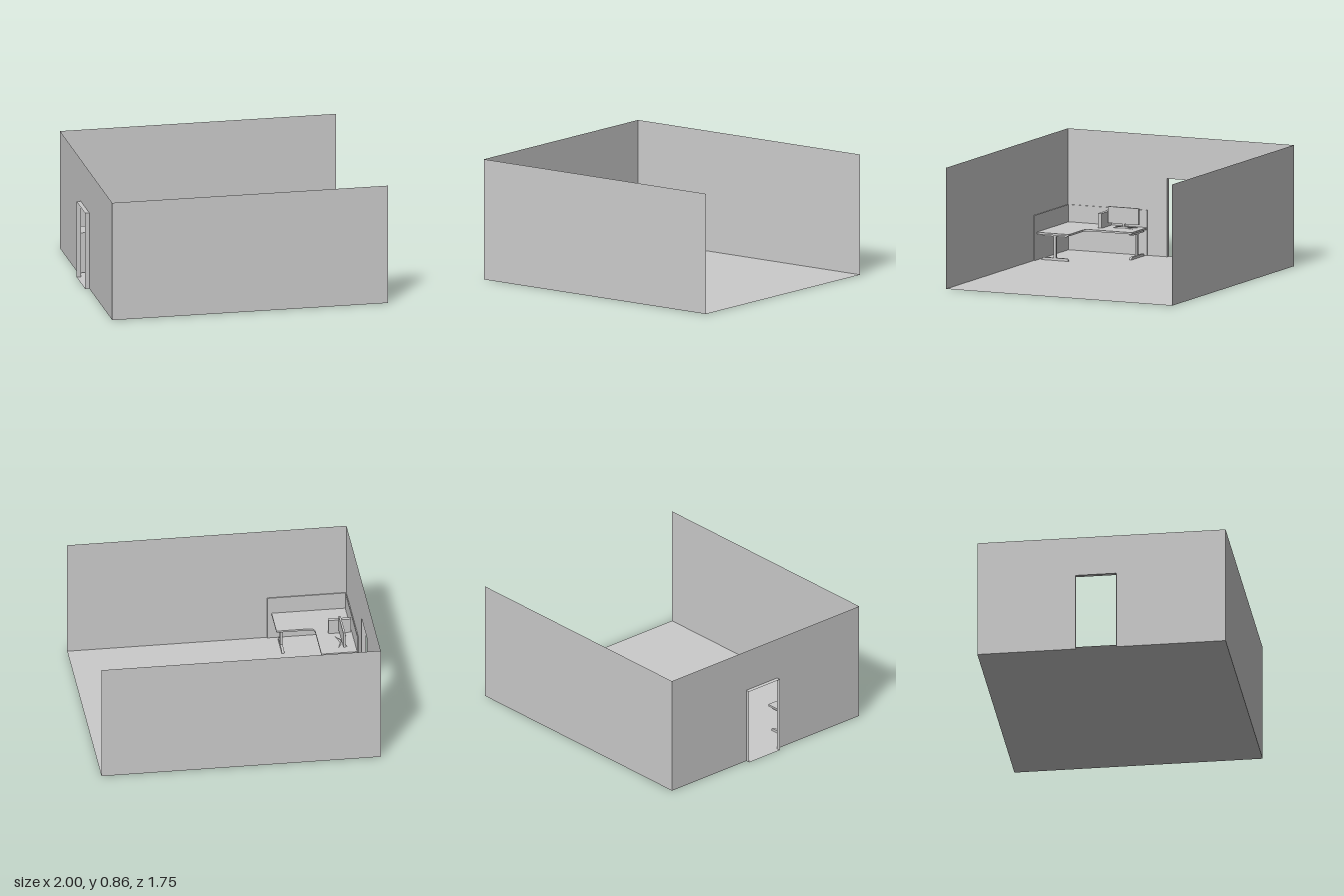
import * as THREE from 'three';

const grey = new THREE.MeshStandardMaterial({ color: 0xcccccc, side: THREE.DoubleSide, flatShading: true });

function add(parent, name, geometry, x = 0, y = 0, z = 0) {
  const mesh = new THREE.Mesh(geometry, grey);
  mesh.name = name;
  mesh.position.set(x, y, z);
  parent.add(mesh);
  return mesh;
}

// Box given by its minimum and maximum on each axis
function box(parent, name, x0, x1, y0, y1, z0, z1) {
  return add(parent, name, new THREE.BoxGeometry(x1 - x0, y1 - y0, z1 - z0),
    (x0 + x1) / 2, (y0 + y1) / 2, (z0 + z1) / 2);
}

function group(parent, name) {
  const g = new THREE.Group();
  g.name = name;
  parent.add(g);
  return g;
}

const W = -0.97, D = 0.875, H = 0.857;      // door wall x, half depth, wall height
const DOOR0 = -0.18, DOOR1 = 0.107, DOORH = 0.553;

function buildRoom(parent) {
  const room = group(parent, 'room');
  const mid = (1 + W) / 2, width = 1 - W;
  add(room, 'floor', new THREE.PlaneGeometry(width, 2 * D).rotateX(-Math.PI / 2), mid, 0, 0);
  for (const [name, z] of [['frontWall', D], ['backWall', -D]]) {
    add(room, name, new THREE.PlaneGeometry(width, H), mid, H / 2, z);
  }
  // Side wall outline steps around the doorway
  const wall = new THREE.Shape([[-D, 0], [DOOR0, 0], [DOOR0, DOORH], [DOOR1, DOORH], [DOOR1, 0],
    [D, 0], [D, H], [-D, H]].map(([z, y]) => new THREE.Vector2(-z, y)));
  add(room, 'doorWall', new THREE.ShapeGeometry(wall).rotateY(Math.PI / 2), W, 0, 0);

  // Shallow reveal outside the doorway
  const reveal = group(room, 'doorReveal');
  const depth = W + 1, x = (W - 1) / 2, zc = (DOOR0 + DOOR1) / 2;
  for (const z of [DOOR0, DOOR1]) add(reveal, 'doorJamb', new THREE.PlaneGeometry(depth, DOORH), x, DOORH / 2, z);
  for (const [name, y] of [['doorHead', DOORH], ['threshold', 0]]) {
    add(reveal, name, new THREE.PlaneGeometry(depth, DOOR1 - DOOR0).rotateX(-Math.PI / 2), x, y, zc);
  }
}

// Bar with rounded ends along z, centred, standing on its base
function roundedBar(length, height, width, up) {
  const h = length / 2, c = height * 0.9, s = new THREE.Shape();
  const top = up ? height : 0, base = up ? 0 : height;
  s.moveTo(-h, base);
  s.lineTo(h, base);
  s.quadraticCurveTo(h, top, h - c, top);
  s.lineTo(-h + c, top);
  s.quadraticCurveTo(-h, top, -h, base);
  return new THREE.ExtrudeGeometry(s, { depth: width, bevelEnabled: false, curveSegments: 4 })
    .translate(0, 0, -width / 2).rotateY(Math.PI / 2);
}

function buildLeg(parent, x, z, turn, length) {
  const leg = group(parent, 'deskLeg');
  add(leg, 'foot', roundedBar(length, 0.018, 0.018, true));
  add(leg, 'topBar', roundedBar(length, 0.015, 0.018, false), 0, 0.17, 0);
  box(leg, 'post', -0.008, 0.008, 0.015, 0.175, -0.01, 0.01);
  leg.position.set(x, 0, z);
  leg.rotation.y = turn;
}

function buildDesk(parent) {
  const desk = group(parent, 'cornerDesk');
  // L-shaped top with a rounded inner corner
  const s = new THREE.Shape();
  const x0 = -0.96, x1 = -0.708, x2 = -0.44, z0 = 0.256, z1 = 0.615, z2 = 0.865, r = 0.04, e = 0.008;
  s.moveTo(x0, -z0);
  s.lineTo(x0, -z2);
  s.lineTo(x2 - e, -z2);
  s.quadraticCurveTo(x2, -z2, x2, -z2 + e);
  s.lineTo(x2, -z1 - e);
  s.quadraticCurveTo(x2, -z1, x2 - e, -z1);
  s.lineTo(x1 + r, -z1);
  s.quadraticCurveTo(x1, -z1, x1, -z1 + r);
  s.lineTo(x1, -z0 - e);
  s.quadraticCurveTo(x1, -z0, x1 - e, -z0);
  add(desk, 'deskTop', new THREE.ExtrudeGeometry(s, { depth: 0.013, bevelEnabled: false, curveSegments: 6 })
    .rotateX(-Math.PI / 2), 0, 0.185, 0);
  buildLeg(desk, -0.49, 0.742, 0, 0.205);
  buildLeg(desk, -0.835, 0.277, Math.PI / 2, 0.205);
  // Privacy screens along the walls
  box(desk, 'sideScreen', -0.968, -0.961, 0, 0.32, 0.258, 0.872);
  box(desk, 'frontScreen', -0.968, -0.41, 0, 0.32, 0.866, 0.873);
}

function buildComputer(parent) {
  const pc = group(parent, 'computer');
  const x = -0.872, z = 0.395, y = 0.198;
  box(pc, 'monitorScreen', x - 0.007, x + 0.007, 0.227, 0.344, z - 0.118, z + 0.118);
  box(pc, 'monitorNeck', x - 0.008, x + 0.004, y, 0.23, z - 0.008, z + 0.008);
  // Splayed feet slope down from the neck
  for (const sx of [-1, 1]) for (const sz of [-1, 1]) {
    const foot = add(pc, 'monitorFoot', new THREE.ConeGeometry(0.013, 0.095, 4).scale(1, 1, 0.5), x + sx * 0.02, y + 0.005, z + sz * 0.045);
    foot.quaternion.setFromUnitVectors(new THREE.Vector3(0, 1, 0),
      new THREE.Vector3(sx * 0.04, -0.006, sz * 0.09).normalize());
  }
  box(pc, 'computerTower', -0.953, -0.795, y, 0.303, 0.53, 0.557);
}

function buildCabinet(parent) {
  const cabinet = group(parent, 'shelfCabinet');
  const x0 = -0.967, x1 = -0.81, z0 = -0.408, z1 = -0.248, y0 = 0.008, y1 = 0.3, t = 0.006;
  box(cabinet, 'cabinetBack', x0, x0 + t, y0, y1, z0, z1);
  for (const z of [z0, z1 - t]) box(cabinet, 'cabinetSide', x0, x1, y0, y1, z, z + t);
  for (let i = 0; i < 4; i++) {
    const y = y0 + (y1 - y0 - t) * i / 3;
    box(cabinet, 'shelf', x0, x1, y, y + t, z0, z1);
  }
}

export function createModel() {
  const model = new THREE.Group();
  model.name = 'officeRoom';
  buildRoom(model);
  buildDesk(model);
  buildComputer(model);
  buildCabinet(model);
  return model;
}
